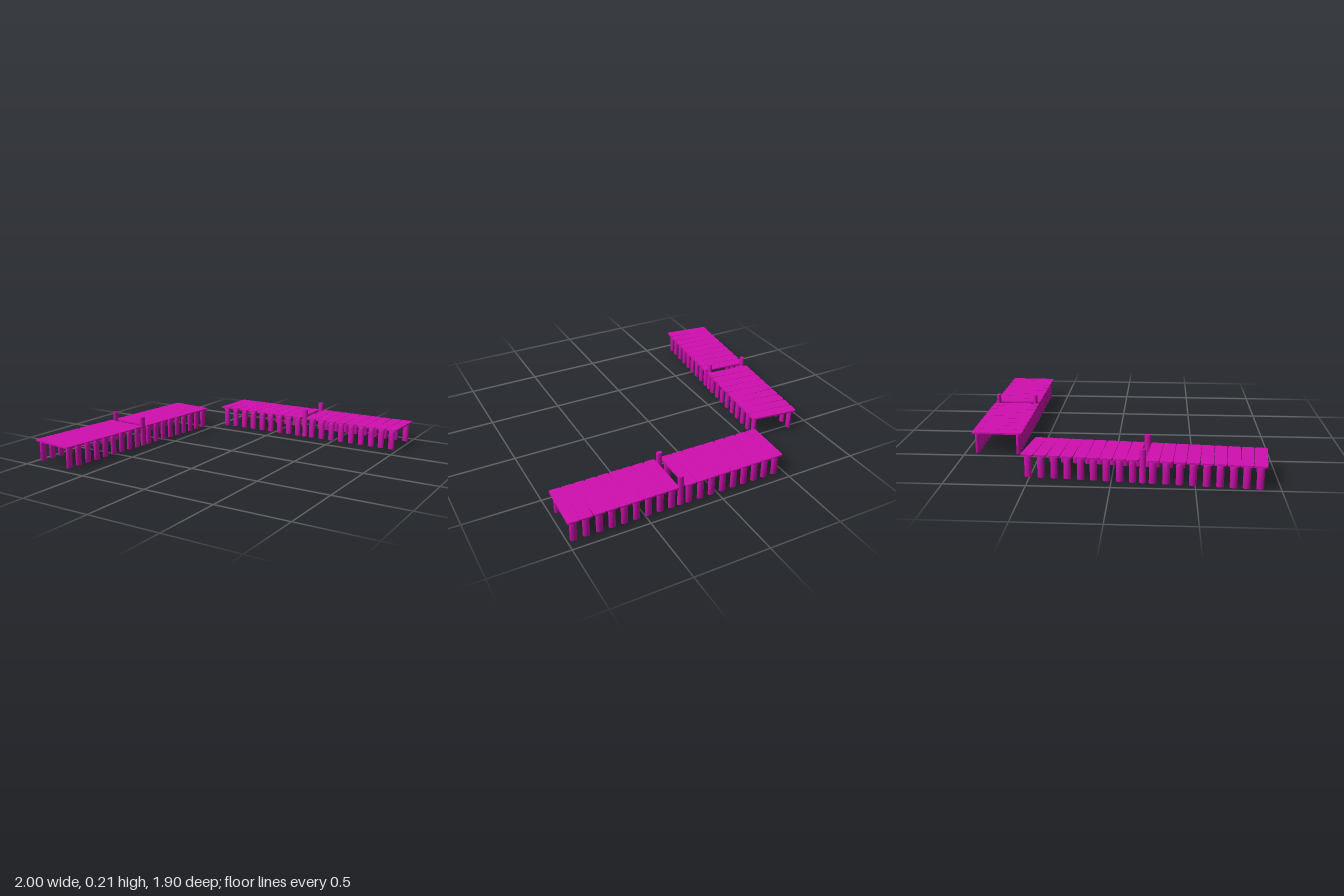
import * as THREE from 'three';

const material = new THREE.MeshStandardMaterial({ color: 0xd10fb0 });
const PITCH = 0.0795, POST_Z = 0.1375;

// Flat board with softly rounded corners, lying in the xz plane
function boardGeometry(w, d, h, r) {
  const x = w / 2, y = d / 2;
  const s = new THREE.Shape();
  s.moveTo(-x + r, -y);
  s.lineTo(x - r, -y);
  s.quadraticCurveTo(x, -y, x, -y + r);
  s.lineTo(x, y - r);
  s.quadraticCurveTo(x, y, x - r, y);
  s.lineTo(-x + r, y);
  s.quadraticCurveTo(-x, y, -x, y - r);
  s.lineTo(-x, -y + r);
  s.quadraticCurveTo(-x, -y, -x + r, -y);
  const g = new THREE.ExtrudeGeometry(s, { depth: h, bevelEnabled: false, curveSegments: 4 });
  return g.rotateX(-Math.PI / 2);
}

// Oval post with a slightly narrowed head
function shortPostGeometry() {
  const profile = [[0, 0], [1, 0], [1, 0.115], [0.93, 0.13], [0.78, 0.141], [0, 0.141]];
  const g = new THREE.LatheGeometry(profile.map(p => new THREE.Vector2(...p)), 16);
  return g.scale(0.0225, 1, 0.015);
}

const board = boardGeometry(0.077, 0.333, 0.011, 0.014);
const shortPost = shortPostGeometry();
const tallPost = new THREE.CylinderGeometry(1, 1, 0.21, 16).translate(0, 0.105, 0).scale(0.02, 1, 0.0145);

function add(parent, name, geometry, x, y, z) {
  const m = new THREE.Mesh(geometry, material);
  m.name = name;
  m.position.set(x, y, z);
  parent.add(m);
}

// One pier along x: nine planks, a gap with two tall mooring posts, nine planks
function createPier(name) {
  const pier = new THREE.Group();
  pier.name = name;
  const skew = [-2, -1.6, -0.5, 0, 1.2, 0.8, 0.3, 0.6, 0, 0, 0.4, 0.6, 0.3, 0.8, 0.5, 0, -1.6, -2];
  skew.forEach((deg, i) => {
    const section = new THREE.Group();
    section.name = 'plankSection';
    const side = i < 9 ? -1 : 1;
    const step = i < 9 ? 8 - i : i - 9;
    section.position.x = side * (0.06 + step * PITCH);
    section.rotation.y = THREE.MathUtils.degToRad(deg);
    add(section, 'plank', board, 0, 0.139, 0);
    for (const s of [-1, 1]) add(section, 'supportPost', shortPost, 0, 0, s * POST_Z);
    pier.add(section);
  });
  for (const s of [-1, 1]) add(pier, 'mooringPost', tallPost, 0, 0, s * POST_Z);
  return pier;
}

export function createModel() {
  const model = new THREE.Group();
  model.name = 'piers';

  const backPier = createPier('backPier');
  backPier.position.set(0.258, 0, -0.782);

  const sidePier = createPier('sidePier');
  sidePier.position.set(-0.772, 0, 0.2);
  sidePier.rotation.y = THREE.MathUtils.degToRad(-95);

  model.add(backPier, sidePier);
  return model;
}
